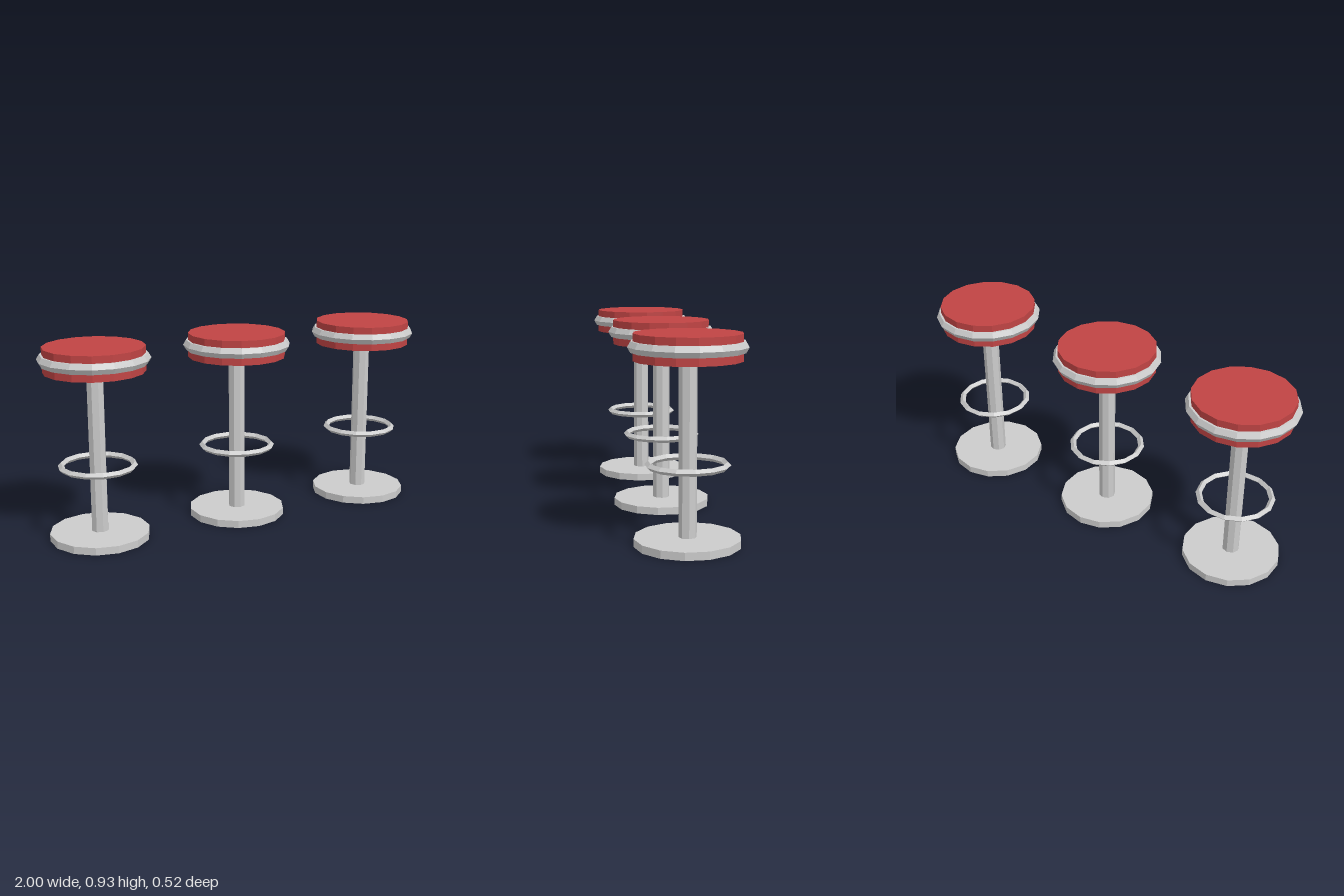
import * as THREE from 'three';

const metal = new THREE.MeshStandardMaterial({ color: 0xcccccc, flatShading: true });
const leather = new THREE.MeshStandardMaterial({ color: 0xc04444, flatShading: true });

function part(name, geometry, material, y) {
  const mesh = new THREE.Mesh(geometry, material);
  mesh.name = name;
  mesh.position.y = y;
  return mesh;
}

// Upright disc or post between two heights
function disc(name, radius, y0, y1, sides, material) {
  return part(name, new THREE.CylinderGeometry(radius, radius, y1 - y0, sides), material, (y0 + y1) / 2);
}

// Horizontal ring
function ring(name, radius, tube, tubeSides, sides, y) {
  return part(name, new THREE.TorusGeometry(radius, tube, tubeSides, sides).rotateX(Math.PI / 2), metal, y);
}

function createStool() {
  const stool = new THREE.Group();
  stool.name = 'stool';
  stool.add(
    disc('base', 0.238, 0, 0.036, 14, metal),
    disc('column', 0.041, 0.036, 0.81, 8, metal),
    ring('footRing', 0.173, 0.015, 4, 14, 0.358),
    disc('seatCushion', 0.238, 0.81, 0.928, 16, leather),
    ring('seatTrim', 0.234, 0.028, 6, 16, 0.87),
  );
  return stool;
}

export function createModel() {
  const model = new THREE.Group();
  model.name = 'barStools';
  // Three stools in a row
  for (const x of [-0.738, 0, 0.738]) {
    const stool = createStool();
    stool.position.x = x;
    model.add(stool);
  }
  return model;
}
